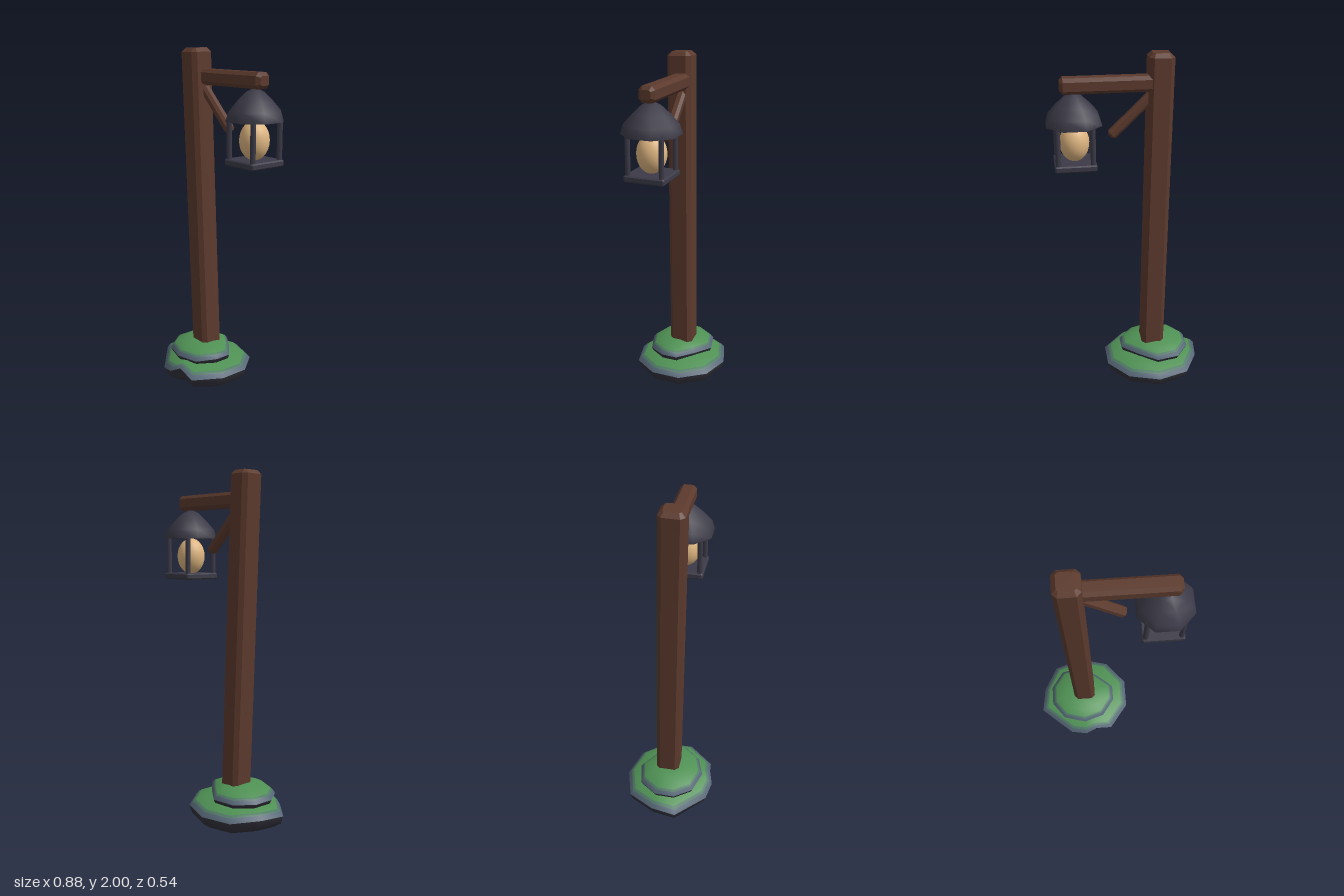
import * as THREE from 'three';

const mat = (name, color) => {
  const m = new THREE.MeshStandardMaterial({ color });
  m.name = name;
  return m;
};

// Box with every edge chamfered; its length runs along y, centred
function chamferedBar(w, len, d, c) {
  const x = w / 2 - c, z = d / 2 - c, k = c * 0.45;
  const s = new THREE.Shape([
    [x - k, -z], [x, -z + k], [x, z - k], [x - k, z],
    [-x + k, z], [-x, z - k], [-x, -z + k], [-x + k, -z],
  ].map(([a, b]) => new THREE.Vector2(a, b)));
  const g = new THREE.ExtrudeGeometry(s, {
    depth: len - 2 * c, bevelEnabled: true, bevelThickness: c, bevelSize: c, bevelSegments: 1,
  });
  return g.translate(0, 0, c - len / 2).rotateX(-Math.PI / 2);
}

// Place a y-long mesh between two points
function between(mesh, a, b) {
  const dir = b.clone().sub(a).normalize();
  mesh.quaternion.setFromUnitVectors(new THREE.Vector3(0, 1, 0), dir);
  mesh.position.copy(a).add(b).multiplyScalar(0.5);
  return mesh;
}

// Skin rings of points from bottom to top; poles close either end; bands give material groups
function skin(rings, bands) {
  const n = rings[0].length, pos = rings.flat(2), idx = [];
  const g = new THREE.BufferGeometry();
  for (let i = 0; i < rings.length - 1; i++) {
    const start = idx.length;
    for (let j = 0; j < n; j++) {
      const a = i * n + j, b = i * n + (j + 1) % n, d = a + n, c = b + n;
      idx.push(a, d, c, a, c, b);
    }
    if (bands) g.addGroup(start, idx.length - start, bands[i]);
  }
  g.setAttribute('position', new THREE.Float32BufferAttribute(pos, 3));
  g.setIndex(idx);
  g.computeVertexNormals();
  return g;
}

export function createModel() {
  const wood = mat('wood', 0x5c3a2d);
  const iron = mat('iron', 0x3b3a47);
  const glow = mat('lampGlow', 0xdfb681);
  const moss = mat('moss', 0x4f9154);
  const mossEdge = mat('mossEdge', 0x507a66);
  const stone = mat('stone', 0x566676);
  const darkStone = mat('darkStone', 0x32323c);

  const root = new THREE.Group();
  root.name = 'lanternPost';
  const V = (x, y, z) => new THREE.Vector3(x, y, z);
  const add = (parent, name, geo, material) => {
    const m = new THREE.Mesh(geo, material);
    m.name = name;
    parent.add(m);
    return m;
  };

  // Leaning post, cross beam and diagonal brace
  between(add(root, 'post', chamferedBar(0.135, 1.88, 0.138, 0.022), wood),
    V(-0.143, 0.12, -0.009), V(-0.18, 2, 0.028));
  between(add(root, 'beam', chamferedBar(0.09, 0.53, 0.085, 0.018), wood),
    V(-0.17, 1.845, 0.006), V(0.36, 1.845, 0.006)).rotateY(Math.PI / 2);
  between(add(root, 'brace', chamferedBar(0.054, 0.36, 0.054, 0.014), wood),
    V(-0.165, 1.811, 0.006), V(0.097, 1.561, 0.006));

  // Lantern
  const lantern = new THREE.Group();
  lantern.name = 'lantern';
  lantern.position.set(0.29, 0, 0.007);
  root.add(lantern);

  const k = 1 / Math.cos(Math.PI / 8); // flat radius to corner radius
  const roofProfile = [[0.138, 1.638], [0.148, 1.638], [0.133, 1.69], [0.09, 1.742], [0.045, 1.787], [0, 1.81]]
    .map(([r, y]) => new THREE.Vector2(r * k, y));
  add(lantern, 'roof', new THREE.LatheGeometry(roofProfile, 8, Math.PI / 8), iron);
  const ceiling = add(lantern, 'ceiling', new THREE.CircleGeometry(0.14 * k, 8, Math.PI / 8), iron);
  ceiling.rotation.x = Math.PI / 2;
  ceiling.position.y = 1.639;

  const base = add(lantern, 'base', chamferedBar(0.226, 0.036, 0.226, 0.007), iron);
  base.position.y = 1.419;
  for (const sx of [-1, 1]) for (const sz of [-1, 1]) {
    const bar = add(lantern, 'cageBar', new THREE.CylinderGeometry(0.0145, 0.0145, 0.23, 8), iron);
    bar.position.set(sx * 0.093, 1.54, sz * 0.093);
  }
  const bulb = add(lantern, 'bulb', new THREE.SphereGeometry(1, 20, 14), glow);
  bulb.scale.set(0.081, 0.105, 0.081);
  bulb.position.y = 1.536;

  // Mossy boulder: rim points are x, y, z; the top cap is banded stone to moss
  function boulder(name, rim, cx, cz, bottom, top) {
    const g = new THREE.Group();
    g.name = name;
    root.add(g);
    const ring = (s, end, t) => rim.map(([x, y, z]) =>
      [cx + (x - cx) * s, y + (end - y) * t, cz + (z - cz) * s]);
    add(g, name + 'Underside', skin([
      ring(0, bottom, 1), ring(0.5, bottom, 0.93), ring(0.8, bottom, 0.7), ring(0.95, bottom, 0.42), ring(1, bottom, 0),
    ]), darkStone);
    add(g, name + 'Top', skin([
      ring(1, top, 0), ring(0.93, top, 0.3), ring(0.87, top, 0.44), ring(0.65, top, 0.76), ring(0.35, top, 0.95), ring(0, top, 1),
    ], [0, 1, 2, 2, 2]), [stone, mossEdge, moss]);
  }

  boulder('lowerBoulder', [
    [-0.16, 0.11, -0.27], [0.02, 0.115, -0.22], [0.135, 0.12, -0.08], [0.135, 0.12, 0.09],
    [0.02, 0.105, 0.235], [-0.08, 0.148, 0.245], [-0.15, 0.11, 0.268], [-0.25, 0.085, 0.245],
    [-0.44, 0.11, 0.085], [-0.42, 0.115, -0.06], [-0.335, 0.11, -0.215],
  ], -0.15, 0, 0.003, 0.19);

  boulder('upperBoulder', [
    [-0.16, 0.19, -0.185], [-0.05, 0.195, -0.11], [0.045, 0.2, -0.03], [0.045, 0.2, 0.065],
    [-0.03, 0.185, 0.165], [-0.155, 0.19, 0.205], [-0.29, 0.185, 0.165],
    [-0.365, 0.188, 0.065], [-0.365, 0.188, -0.05], [-0.29, 0.188, -0.155],
  ], -0.16, 0.01, 0.135, 0.26);

  return root;
}
